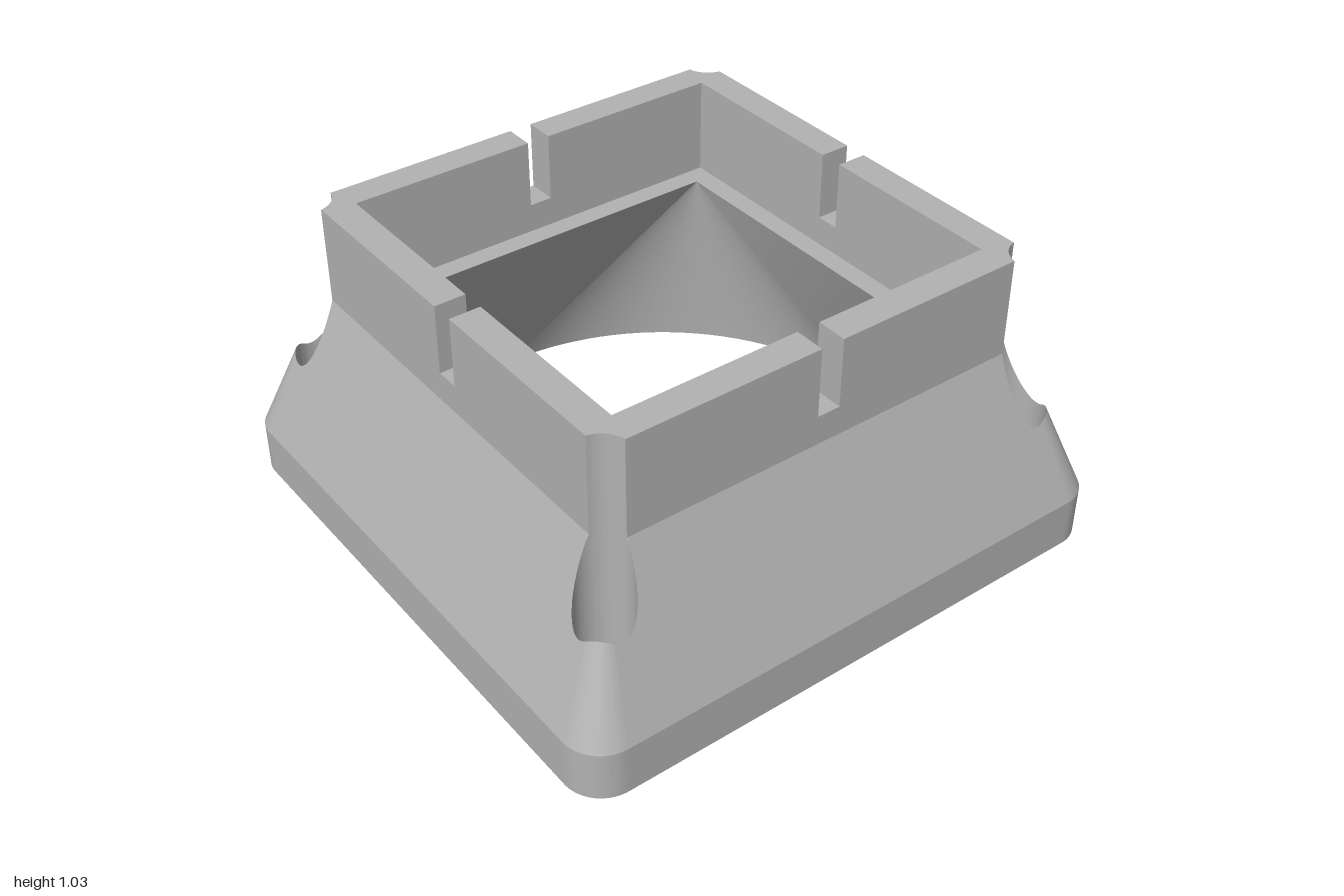
import * as THREE from 'three';
import { toCreasedNormals } from 'three/addons/utils/BufferGeometryUtils.js';

const BASE_Y = 0.17, NECK_Y = 0.70, TOP_Y = 1.035, NOTCH_Y = 0.80;
const HALF = 1, CORNER = 0.13, NECK = 0.785, POCKET = 0.68, OPENING = 0.608;
const HOLE = 0.8, HOLE_R = 0.09, FUNNEL_R = 0.93, NOTCH = 0.04;
const V = (x, y, z) => new THREE.Vector3(x, y, z);
const steps = (n, a, b) => Array.from({ length: n + 1 }, (_, i) => a + (b - a) * i / n);
const smooth = (g) => toCreasedNormals(g, 0.5);

// Surface between two point rows of equal length
function strip(lower, upper) {
  const pts = [];
  const tri = (a, b, c) => {
    if (a.distanceTo(b) > 1e-6 && b.distanceTo(c) > 1e-6 && a.distanceTo(c) > 1e-6) pts.push(a, b, c);
  };
  for (let i = 0; i < lower.length - 1; i++) {
    tri(lower[i], upper[i], upper[i + 1]);
    tri(lower[i], upper[i + 1], lower[i + 1]);
  }
  const g = new THREE.BufferGeometry().setFromPoints(pts);
  g.computeVertexNormals();
  return smooth(g);
}

// Largest t in 0..1 for which the test holds
function bisect(test) {
  let lo = 0, hi = 1;
  for (let i = 0; i < 40; i++) {
    const mid = (lo + hi) / 2;
    if (test(mid)) lo = mid; else hi = mid;
  }
  return lo;
}
const slopeY = (t) => BASE_Y + (NECK_Y - BASE_Y) * t;

// Height of the tapering rounded-square slope over a plan point
function slopeHeight(x, z) {
  return slopeY(bisect((t) => {
    const r = CORNER * (1 - t), c = HALF + (NECK - HALF) * t - r;
    return Math.hypot(Math.max(x - c, 0), Math.max(z - c, 0)) <= r + 1e-9;
  }));
}

// Point on the bolt-hole circle, in plan
const holePoint = (a) => [HOLE + HOLE_R * Math.cos(a), HOLE + HOLE_R * Math.sin(a)];

// Point where a corner ruling meets the bolt hole
function rulingEnd(p) {
  const at = (t) => V(p.x + (NECK - p.x) * t, slopeY(t), p.z + (NECK - p.z) * t);
  return at(bisect((t) => {
    const q = at(t);
    return Math.hypot(q.x - HOLE, q.z - HOLE) > HOLE_R;
  }));
}

function squareShape(h) {
  return new THREE.Shape([[-h, -h], [h, -h], [h, h], [-h, h]].map(([x, y]) => new THREE.Vector2(x, y)));
}
function circlePath(x, y, r) {
  return new THREE.Path().absarc(x, y, r, 0, Math.PI * 2, true);
}

export function createModel() {
  const model = new THREE.Group();
  const grey = new THREE.MeshStandardMaterial({ color: 0xb2b2b2 });
  grey.name = 'plain grey';
  const add = (name, geometry, turn = 0) => {
    const mesh = new THREE.Mesh(geometry, grey);
    mesh.name = name;
    mesh.rotation.y = turn * Math.PI / 2;
    model.add(mesh);
  };

  const c = HALF - CORNER, quarter = Math.PI / 2;
  const arc = steps(20, 0, quarter).map((a) => V(c + CORNER * Math.cos(a), BASE_Y, c + CORNER * Math.sin(a)));

  // Base rim: one rounded corner plus one straight side
  const rimTop = [...arc, V(-c, BASE_Y, HALF)];
  const baseRim = strip(rimTop.map((p) => V(p.x, 0, p.z)), rimTop);

  // Conical corner of the slope, trimmed by the bolt hole
  const ends = arc.map(rulingEnd);
  const slopeCorner = strip(arc, ends);

  // Flat side of the slope, with both ends trimmed by the bolt holes
  const last = ends[ends.length - 1];
  const dip = Math.asin((HOLE - NECK) / HOLE_R);
  const cut = steps(28, Math.atan2(last.z - HOLE, last.x - HOLE), Math.PI + dip).map(holePoint);
  const half = [[c, HALF], ...cut];
  const outline = [...half, ...half.map(([x, y]) => [-x, y]).reverse()];
  const slopeSide = new THREE.ShapeGeometry(new THREE.Shape(outline.map(([x, y]) => new THREE.Vector2(x, y))));
  slopeSide.rotateX(-quarter);
  const pos = slopeSide.attributes.position;
  for (let i = 0; i < pos.count; i++) {
    pos.setY(i, slopeY((HALF + pos.getZ(i)) / (HALF - NECK)));
  }
  slopeSide.computeVertexNormals();

  // Bolt-hole wall, following the slope at its upper end
  const ring = steps(72, 0, Math.PI * 2).map(holePoint);
  const boltHole = strip(
    ring.map(([x, z]) => V(x, slopeHeight(x, z), z)),
    ring.map(([x, z]) => V(x, 0, z)));

  // Funnel quarter: fan from the opening's corner plus a flat triangle
  const mouth = steps(28, 0, quarter).map((a) => V(FUNNEL_R * Math.cos(a), 0, FUNNEL_R * Math.sin(a)));
  const throat = mouth.map(() => V(OPENING, NECK_Y, OPENING));
  mouth.push(mouth[mouth.length - 1].clone());
  throat.push(V(-OPENING, NECK_Y, OPENING));
  const funnel = strip(throat, mouth);

  // Collar corner between two notches, with the bolt groove outside
  const groove = steps(20, Math.PI + dip, Math.PI * 1.5 - dip).map(holePoint);
  const collarShape = new THREE.Shape([
    [NOTCH, NECK], ...groove, [NECK, NOTCH], [POCKET, NOTCH], [POCKET, POCKET], [NOTCH, POCKET],
  ].map(([x, y]) => new THREE.Vector2(x, y)));
  const collar = smooth(new THREE.ExtrudeGeometry(collarShape, { depth: TOP_Y - NECK_Y, bevelEnabled: false })
    .rotateX(-quarter).translate(0, NECK_Y, 0));

  // Wall below each notch
  const notchFloor = new THREE.BoxGeometry(NOTCH * 2, NOTCH_Y - NECK_Y, NECK - POCKET)
    .translate(0, (NOTCH_Y + NECK_Y) / 2, (NECK + POCKET) / 2);

  for (let k = 0; k < 4; k++) {
    add('baseRim', baseRim, k);
    add('slopeCorner', slopeCorner, k);
    add('slopeSide', slopeSide, k);
    add('boltHole', boltHole, k);
    add('funnel', funnel, k);
    add('collarCorner', collar, k);
    add('notchFloor', notchFloor, k);
  }

  // Ledge inside the collar
  const ledge = squareShape(POCKET);
  ledge.holes.push(squareShape(OPENING));
  add('ledge', new THREE.ShapeGeometry(ledge).rotateX(-quarter).translate(0, NECK_Y, 0));

  // Underside with the round mouth and four bolt holes
  const under = new THREE.Shape();
  for (let k = 0; k < 4; k++) {
    const a = k * quarter, m = a + quarter / 2;
    under.absarc(c * Math.SQRT2 * Math.cos(m), c * Math.SQRT2 * Math.sin(m), CORNER, a, a + quarter, false);
  }
  under.holes.push(circlePath(0, 0, FUNNEL_R));
  for (const x of [-HOLE, HOLE]) for (const y of [-HOLE, HOLE]) under.holes.push(circlePath(x, y, HOLE_R));
  add('underside', new THREE.ShapeGeometry(under, 56).rotateX(quarter));

  return model;
}
